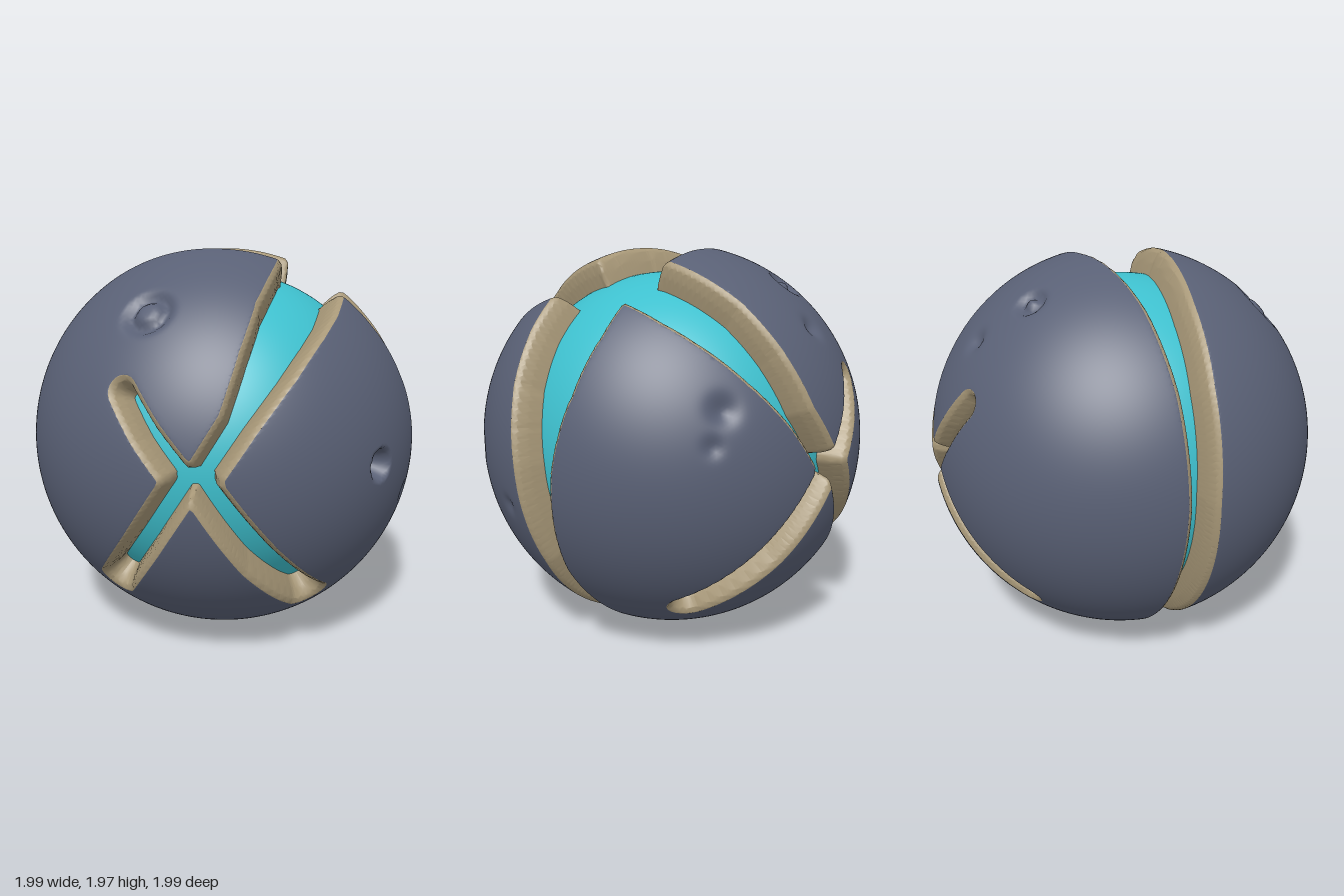
import * as THREE from 'three';
import { mergeVertices } from 'three/addons/utils/BufferGeometryUtils.js';

const V = (x, y, z) => new THREE.Vector3(x, y, z);
const CORE = 0.86, LIP = 0.06, TRIM = 0.05, HOLE = 0.035;

// Grooves: paths on the unit sphere, each point with its own half width
const segments = [];
function addGroove(points) {
  for (let i = 1; i < points.length; i++) {
    const [a, ra] = points[i - 1], [b, rb] = points[i];
    const ab = b.clone().sub(a);
    segments.push({ a, ab, len2: ab.lengthSq(), ra, rb });
  }
}

// Ring groove round the sides, top and bottom: [angle in degrees, half width]
const ring = [[0, 0.08], [12, 0.115], [24, 0.155], [40, 0.19], [58, 0.2], [75, 0.19], [90, 0.17],
  [108, 0.12], [125, 0.08], [150, 0.045], [180, 0.03], [202, 0.04], [225, 0.05], [248, 0.06],
  [270, 0.065], [292, 0.06], [315, 0.045], [330, 0.03], [345, 0.055], [360, 0.08]];
addGroove(ring.map(([deg, w]) => {
  const t = THREE.MathUtils.degToRad(deg);
  return [V(Math.cos(t), Math.sin(t), 0.005 - 0.025 * Math.cos(t)).normalize(), w];
}));

// Crossed grooves on the front and back: [x, y, half width]
const arms = [
  [[-0.05, 0, 0.045], [0.06, 0, 0.045]],
  [[-0.05, 0.02, 0.035], [-0.2, 0.2, 0.03], [-0.32, 0.37, 0.024]],
  [[-0.05, -0.03, 0.04], [-0.25, -0.34, 0.042], [-0.43, -0.61, 0.045]],
  [[0.06, -0.03, 0.04], [0.3, -0.4, 0.055], [0.5, -0.68, 0.055]],
  [[0.06, 0.03, 0.035], [0.2, 0.25, 0.04], [0.32, 0.5, 0.09], [0.4, 0.68, 0.125],
    [0.445, 0.77, 0.135], [0.47, 0.85, 0.135]],
];
for (const side of [1, -1]) {
  for (const arm of arms) {
    addGroove(arm.map(([x, y, w]) => [V(x, y, side * Math.sqrt(Math.max(0, 1 - x * x - y * y))).normalize(), w]));
  }
}

// Distance from the nearest groove edge, negative inside
const q = V(0, 0, 0);
function grooveDistance(p) {
  let best = 9;
  for (const s of segments) {
    const t = THREE.MathUtils.clamp(q.copy(p).sub(s.a).dot(s.ab) / s.len2, 0, 1);
    q.copy(s.a).addScaledVector(s.ab, t).normalize();
    best = Math.min(best, q.distanceTo(p) - THREE.MathUtils.lerp(s.ra, s.rb, t));
  }
  return best;
}

// Round port and battle dents in the armour
const port = V(0.82, 0, 0.565).normalize();
const dents = [
  { c: V(-0.25, 0.7, 0.67), ring: 0.09, w: 0.03, depth: 0.035 },
  { c: V(-0.25, 0.8, -0.53), ring: 0.05, w: 0.025, depth: 0.03 },
  { c: V(-0.13, 0.62, -0.78), ring: 0, w: 0.05, depth: 0.03 },
  { c: V(0.55, 0.32, -0.77), ring: 0, w: 0.06, depth: 0.035 },
  { c: V(0.62, 0.17, -0.77), ring: 0, w: 0.04, depth: 0.02 },
  { c: V(0.95, -0.22, 0.22), ring: 0, w: 0.04, depth: 0.015 },
];
dents.forEach((d) => d.c.normalize());

function place(v) {
  const t = THREE.MathUtils.clamp(v.d / LIP, 0, 1);
  let r = CORE + (1 - CORE) * (1 - (1 - t) ** 3);
  if (v.d > 0) {
    for (const s of dents) r -= s.depth * Math.exp(-(((v.p.distanceTo(s.c) - s.ring) / s.w) ** 2));
    r -= 0.12 * (1 - THREE.MathUtils.smoothstep(v.k, HOLE, 0.085));
  }
  return v.p.clone().multiplyScalar(r);
}

// Cut every triangle along a contour of one field
function split(tris, field, level) {
  const out = [];
  for (const tri of tris) {
    const above = tri.map((v) => v[field] > level);
    if (above[0] === above[1] && above[1] === above[2]) { out.push(tri); continue; }
    const hi = [], lo = [];
    for (let i = 0; i < 3; i++) {
      const a = tri[i], b = tri[(i + 1) % 3];
      (above[i] ? hi : lo).push(a);
      if (above[i] !== above[(i + 1) % 3]) {
        const t = (level - a[field]) / (b[field] - a[field]);
        const cut = { p: a.p.clone().lerp(b.p, t).normalize() };
        for (const f of ['d', 'k']) cut[f] = a[f] + (b[f] - a[f]) * t;
        cut[field] = level;
        hi.push(cut);
        lo.push(cut);
      }
    }
    for (const poly of [hi, lo]) {
      for (let i = 2; i < poly.length; i++) out.push([poly[0], poly[i - 1], poly[i]]);
    }
  }
  return out;
}

// Smooth indexed geometry, one material group for each list of triangles
function build(lists) {
  let g = new THREE.BufferGeometry();
  const points = lists.flat(2).map(place);
  g.setFromPoints(points);
  g = mergeVertices(g, 1e-4);
  g.computeVertexNormals();
  let start = 0;
  lists.forEach((list, i) => {
    g.addGroup(start, list.length * 3, i);
    start += list.length * 3;
  });
  return g;
}

export function createModel() {
  const mat = (name, color) => new THREE.MeshStandardMaterial({ name, color });
  const slate = mat('slateArmour', 0x596075);
  const tan = mat('tanTrim', 0xa89878);
  const teal = mat('tealCore', 0x3ec0ce);

  const pos = new THREE.IcosahedronGeometry(1, 62).getAttribute('position');
  let tris = [];
  for (let i = 0; i < pos.count; i += 3) {
    tris.push([0, 1, 2].map((j) => {
      const p = V(0, 0, 0).fromBufferAttribute(pos, i + j).normalize();
      return { p, d: grooveDistance(p), k: p.distanceTo(port) };
    }));
  }
  for (const level of [0, 0.012, 0.028, TRIM]) tris = split(tris, 'd', level);
  tris = split(tris, 'k', HOLE);

  // Sort the pieces into core, trim and armour
  const core = [], trim = [], armour = [];
  for (const t of tris) {
    const d = (t[0].d + t[1].d + t[2].d) / 3, k = (t[0].k + t[1].k + t[2].k) / 3;
    (d < 0 || k < HOLE ? core : d < TRIM ? trim : armour).push(t);
  }

  const group = new THREE.Group();
  group.name = 'armouredSphere';
  const shell = new THREE.Mesh(build([armour, trim]), [slate, tan]);
  shell.name = 'armourShell';
  const inner = new THREE.Mesh(build([core]), [teal]);
  inner.name = 'innerCore';
  for (const m of [shell, inner]) {
    m.position.y = 1;
    group.add(m);
  }
  return group;
}
